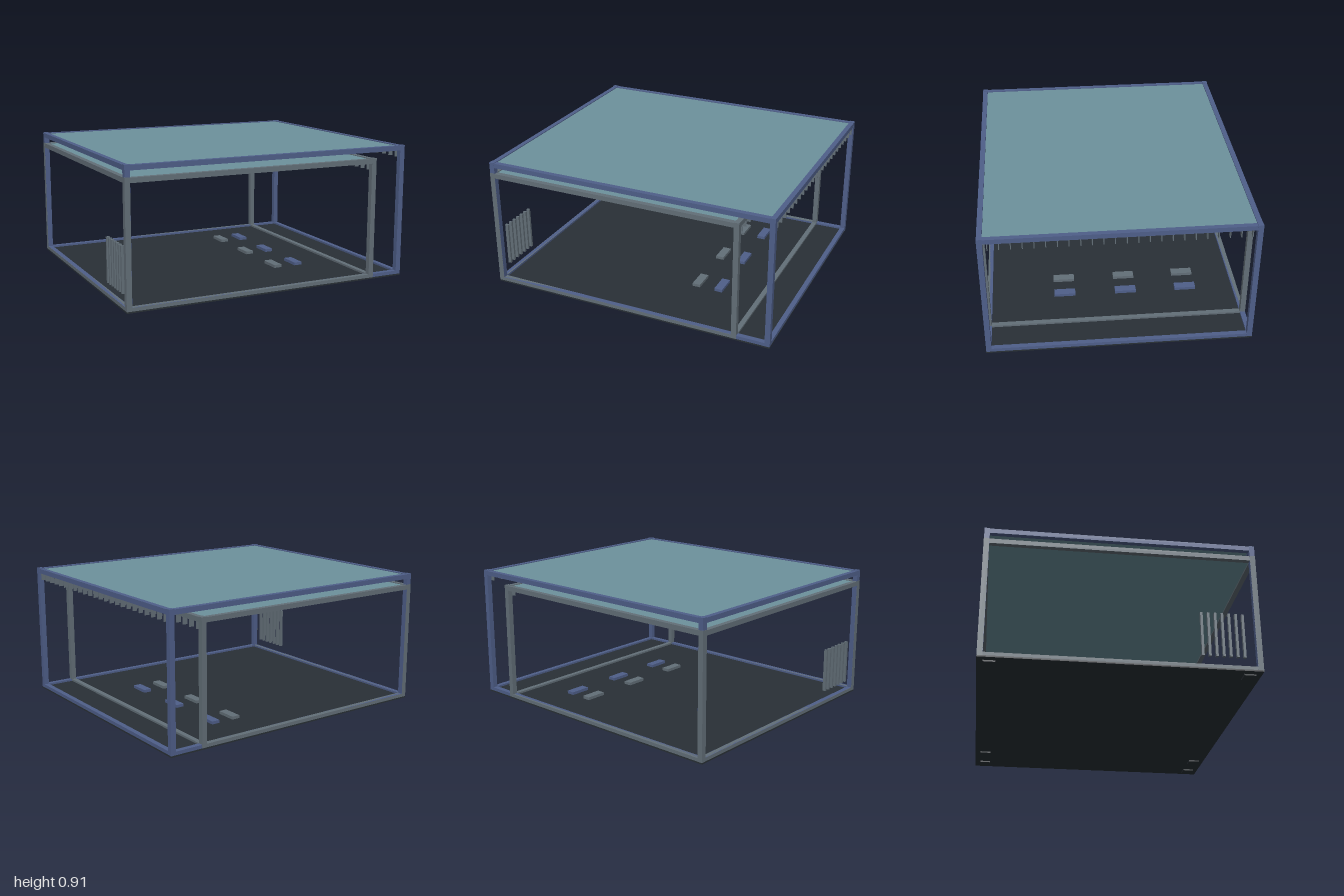
import * as THREE from 'three';

const mat = (name, color) => {
  const m = new THREE.MeshStandardMaterial({ color });
  m.name = name;
  return m;
};

export function createModel() {
  const blue = mat('blue steel', 0x4f5f8a);
  const gray = mat('gray steel', 0x636f78);
  const glass = mat('teal glass', 0x6d929d);
  const dark = mat('dark floor', 0x293036);

  const model = new THREE.Group();
  model.name = 'slidingPavilion';

  // Box given by its limits on each axis
  function box(parent, name, material, [x0, x1], [y0, y1], [z0, z1]) {
    const mesh = new THREE.Mesh(new THREE.BoxGeometry(x1 - x0, y1 - y0, z1 - z0), material);
    mesh.position.set((x0 + x1) / 2, (y0 + y1) / 2, (z0 + z1) / 2);
    mesh.name = name;
    parent.add(mesh);
  }

  const T = 0.035; // beam thickness

  // Open box frame with posts, beams, a glass roof and a hanging fringe on its left edge
  function frame(name, material, x0, x1, top, z) {
    const g = new THREE.Group();
    g.name = name;
    const y0 = 0.02;
    for (const [a, b] of [[x0, x0 + T], [x1 - T, x1]]) {
      for (const [c, d] of [[-z, T - z], [z - T, z]]) box(g, 'post', material, [a, b], [y0, top], [c, d]);
      for (const [l, h] of [[y0, 0.043], [top - T, top - 0.003]])
        box(g, 'sideBeam', material, [a + 0.001, b - 0.001], [l, h], [T - z, z - T]);
    }
    for (const [c, d] of [[-z, T - z], [z - T, z]])
      for (const [l, h] of [[y0, 0.043], [top - T, top - 0.003]])
        box(g, 'crossBeam', material, [x0 + T, x1 - T], [l, h], [c + 0.0005, d - 0.0005]);
    box(g, 'roofGlass', glass, [x0 + T, x1 - T], [top - 0.025, top - 0.008], [T - z, z - T]);
    const n = 24;
    for (let i = 0; i < n; i++) {
      const s = 0.812 - (1.624 * i) / (n - 1);
      box(g, 'fringeStrip', gray, [x1 - T + 0.002, x1 - 0.003], [top - 0.083, top - T], [s - 0.003, s + 0.003]);
    }
    model.add(g);
  }
  frame('outerFrame', blue, -0.999, 1, 0.912, 0.874);
  frame('innerFrame', gray, -1, 0.775, 0.837, 0.875);

  // Floor slab with a raised deck between the beams
  box(model, 'floorSlab', dark, [-1, 1], [0.01, 0.02], [-0.875, 0.875]);
  box(model, 'floorDeck', dark, [-0.97, 0.97], [0.02, 0.03], [-0.845, 0.845]);

  // Feet
  for (const x of [-0.917, 0.7, 0.917])
    for (const z of [-0.8, 0.8]) box(model, 'foot', dark, [x - 0.04, x + 0.04], [0, 0.01], [z - 0.038, z + 0.038]);

  // Floor plates in gray and blue pairs
  for (const z of [0.337, -0.087, -0.507]) {
    box(model, 'grayFloorPlate', gray, [0.27, 0.327], [0.03, 0.05], [z - 0.073, z + 0.073]);
    box(model, 'blueFloorPlate', blue, [0.433, 0.49], [0.03, 0.05], [z - 0.073, z + 0.073]);
  }

  // Vertical louvre slats on the right side
  for (let i = 0; i < 7; i++) {
    const z = 0.765 - i * 0.044;
    box(model, 'louvreSlat', gray, [-0.992, -0.97], [0.105, 0.405], [z - 0.008, z + 0.008]);
  }
  return model;
}
